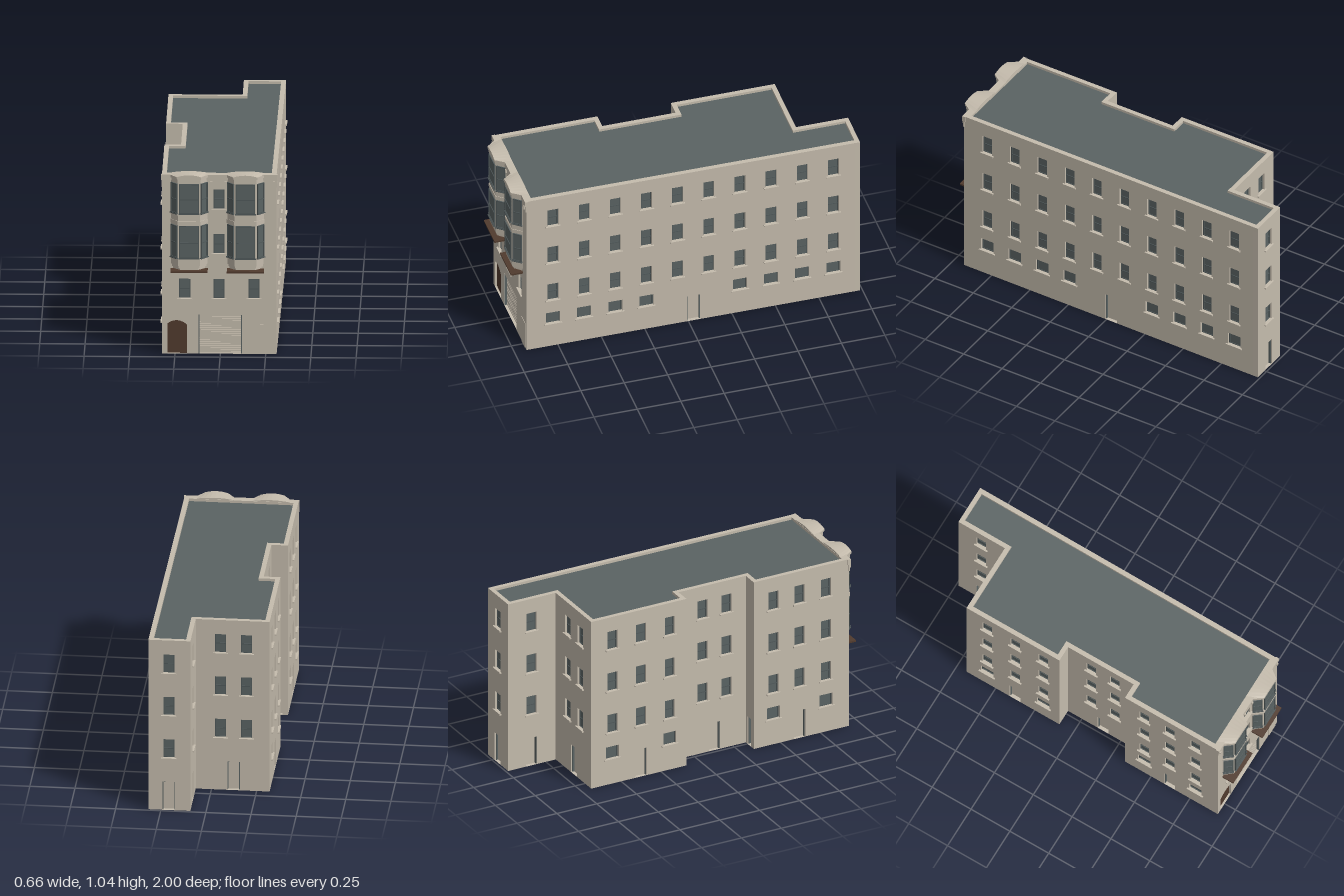
import * as THREE from 'three';

const mat = (name, color, side = THREE.FrontSide) => {
  const m = new THREE.MeshStandardMaterial({ color, side });
  m.name = name;
  return m;
};
const stone = mat('stone', 0xc5bcad);
const slate = mat('slate', 0x5a6363);
const sash = mat('sash', 0x50595a);
const brown = mat('brown', 0x513b2e);

const TOP = 1.027, RECESS = 0.02, THICK = 0.03;

function add(parent, name, geo, material, x = 0, y = 0, z = 0) {
  const m = new THREE.Mesh(geo, material);
  m.name = name;
  m.position.set(x, y, z);
  parent.add(m);
  return m;
}
const box = (parent, name, w, h, d, material, x, y, z) =>
  add(parent, name, new THREE.BoxGeometry(w, h, d), material, x, y, z);

// Prism standing on y0 from plan points [x, z], with an optional hole
function prism(parent, name, pts, y0, y1, material, hole) {
  const toShape = (p, C) => new C(p.map(([x, z]) => new THREE.Vector2(x, -z)));
  const s = toShape(pts, THREE.Shape);
  if (hole) s.holes.push(toShape(hole, THREE.Path));
  const g = new THREE.ExtrudeGeometry(s, { depth: y1 - y0, bevelEnabled: false });
  g.rotateX(-Math.PI / 2);
  return add(parent, name, g, material, 0, y0, 0);
}

// Glass with a border and a meeting rail; local z is outward
function pane(parent, x, y0, w, h, z, rail = true) {
  const g = new THREE.Group();
  g.name = 'window';
  g.position.set(x, y0 + h / 2, z);
  parent.add(g);
  const b = 0.005;
  box(g, 'glass', w, h, 0.004, slate, 0, 0, 0.002);
  for (const s of [-1, 1]) {
    box(g, 'sashSide', b, h, 0.008, sash, s * (w - b) / 2, 0, 0.004);
    box(g, 'sashEnd', w, b, 0.008, sash, 0, s * (h - b) / 2, 0.004);
  }
  if (rail) box(g, 'meetingRail', w, 0.005, 0.008, sash, 0, -h * 0.03, 0.004);
}

// Opening kinds: u is the distance along the wall
const sashWindow = (u, y, w = 0.062, h = 0.113) => ({ kind: 'window', u, y, w, h });
const smallWindow = (u) => ({ kind: 'small', u, y: 0.155, w: 0.08, h: 0.075 });
const door = (u, w = 0.07, h = 0.17) => ({ kind: 'door', u, y: 0.0005, w, h });
const ROWS = [0.315, 0.572, 0.828];
const column = (u) => ROWS.map((y) => sashWindow(u, y));

// Wall between two plan points, seen left to right from outside
function wall(parent, name, a, b, openings) {
  const dx = b[0] - a[0], dz = b[1] - a[1], L = Math.hypot(dx, dz);
  const g = new THREE.Group();
  g.name = name;
  g.position.set(a[0], 0, a[1]);
  g.rotation.y = Math.atan2(-dz, dx);
  parent.add(g);
  const s = new THREE.Shape();
  s.moveTo(0, 0).lineTo(L, 0).lineTo(L, 1).lineTo(0, 1).closePath();
  for (const o of openings) {
    const l = o.u - o.w / 2, r = o.u + o.w / 2, t = o.y + o.h;
    const p = new THREE.Path();
    p.moveTo(l, o.y).lineTo(l, t);
    if (o.rise) p.quadraticCurveTo(o.u, t + 2 * o.rise, r, t);
    else p.lineTo(r, t);
    p.lineTo(r, o.y).closePath();
    s.holes.push(p);
    if (o.kind === 'window' || o.kind === 'small') {
      pane(g, o.u, o.y, o.w, o.h, -RECESS, o.kind === 'window');
      box(g, 'sill', o.w + 0.022, 0.008, 0.028, stone, o.u, o.y - 0.003, -0.004);
    } else if (o.kind === 'door') {
      for (const k of [-1, 1])
        box(g, 'doorJamb', 0.004, o.h, 0.012, slate, o.u + k * (o.w / 2 - 0.002), o.y + o.h / 2, -0.014);
      box(g, 'doorHead', o.w, 0.004, 0.012, slate, o.u, t - 0.002, -0.014);
      box(g, 'doorBack', o.w, o.h, 0.004, slate, o.u, o.y + o.h / 2, -THICK - 0.001);
    }
  }
  const face = new THREE.ExtrudeGeometry(s, { depth: RECESS, bevelEnabled: false });
  add(g, 'wallFace', face, stone, 0, 0, -RECESS);
  box(g, 'wallBacking', L, 1, THICK - RECESS, stone, L / 2, 0.5, -(THICK + RECESS) / 2);
  return g;
}

// Two-storey bay with canted sides
function bay(parent, cx) {
  const g = new THREE.Group();
  g.name = 'bayWindow';
  g.position.set(cx, 0, 0.93);
  parent.add(g);
  const H = 0.1, F = 0.06, D = 0.05;
  const plan = (e) => [[-H - e, -0.01], [-H - e, 0], [-F - e * 0.6, D + e], [F + e * 0.6, D + e], [H + e, 0], [H + e, -0.01]];
  box(g, 'bayBase', 0.205, 0.01, 0.08, brown, 0, 0.485, 0.03);
  const layers = [
    [0.49, 0.502, -0.012], [0.502, 0.515, -0.005], [0.515, 1.0, 0], [0.75, 0.772, 0.004],
    [0.772, 0.802, 0.001], [0.802, 0.812, 0.004], [0.987, 1.012, 0.004], [1.012, 1.026, 0.01],
  ];
  for (const [y0, y1, e] of layers) prism(g, 'bayBand', plan(e), y0, y1, stone);
  // Shallow roof rising to the middle
  const roof = new THREE.Shape();
  roof.moveTo(-0.112, 1.02).lineTo(-0.112, 1.026).quadraticCurveTo(0, 1.048, 0.112, 1.026).lineTo(0.112, 1.02);
  const rg = new THREE.ExtrudeGeometry(roof, { depth: 0.09, bevelEnabled: false, curveSegments: 8 });
  const p = rg.attributes.position;
  for (let i = 0; i < p.count; i++) // pull the front edge in to follow the canted plan
    if (p.getZ(i) > 0.05) p.setX(i, p.getX(i) * 0.6);
  rg.computeVertexNormals();
  add(g, 'bayRoof', rg, stone, 0, 0, -0.03);
  // Front and canted windows on both storeys
  const faces = [
    [0, D, 0, 0.108],
    [-(H + F) / 2, D / 2, -Math.atan2(D, H - F), 0.054],
    [(H + F) / 2, D / 2, Math.atan2(D, H - F), 0.054],
  ];
  for (const [x, z, turn, w] of faces) {
    const f = new THREE.Group();
    f.name = 'bayFace';
    f.position.set(x, 0, z);
    f.rotation.y = turn;
    g.add(f);
    for (const [y, h] of [[0.56, 0.185], [0.815, 0.17]]) {
      pane(f, 0, y, w, h, 0);
      box(f, 'baySill', w + 0.008, 0.005, 0.014, sash, 0, y - 0.002, 0.005);
    }
  }
}

export function createModel() {
  const model = new THREE.Group();
  model.name = 'building';
  const outer = [
    [-0.322, 0.93], [0.31, 0.93], [0.32, -0.987], [0.087, -0.987], [0.087, -0.688],
    [-0.322, -0.688], [-0.322, -0.09], [-0.23, -0.09], [-0.23, 0.332], [-0.322, 0.332],
  ];
  const inner = [
    [-0.296, 0.898], [0.283, 0.898], [0.293, -0.962], [0.113, -0.962], [0.113, -0.662],
    [-0.296, -0.662], [-0.296, -0.116], [-0.204, -0.116], [-0.204, 0.358], [-0.296, 0.358],
  ];
  // Distance along wall i from a world coordinate on its main axis
  const along = (i, c) => {
    const a = outer[i], b = outer[(i + 1) % outer.length];
    const k = Math.abs(b[0] - a[0]) > Math.abs(b[1] - a[1]) ? 0 : 1;
    return Math.abs(c - a[k]);
  };

  // Openings of each wall
  const openings = outer.map(() => []);
  const put = (i, ...list) => openings[i].push(...list);
  for (const x of [-0.197, -0.008, 0.185]) put(0, sashWindow(along(0, x), ROWS[0]));
  for (const y of [0.572, 0.828]) put(0, sashWindow(along(0, -0.008), y));
  put(0, { kind: 'arch', u: along(0, -0.242), y: 0.0005, w: 0.117, h: 0.165, rise: 0.025 });
  put(0, { kind: 'garage', u: along(0, 0), y: 0.0005, w: 0.24, h: 0.223 });
  for (let c = 0; c < 10; c++) {
    const u = along(1, 0.778 - c * 0.179);
    put(1, ...column(u));
    if (c !== 4 && c !== 5) put(1, smallWindow(u));
  }
  put(1, door(along(1, -0.03), 0.076));
  put(2, ...column(along(2, 0.207)), door(along(2, 0.207)));
  put(3, ...column(along(3, -0.84)), door(along(3, -0.84)));
  put(4, ...column(along(4, -0.05)), ...column(along(4, -0.194)), door(along(4, -0.122)));
  for (const z of [-0.555, -0.375, -0.195]) put(5, ...column(along(5, z)));
  put(5, smallWindow(along(5, -0.555)), door(along(5, -0.375)), smallWindow(along(5, -0.195)));
  put(7, ...column(along(7, 0.06)), ...column(along(7, 0.21)), door(along(7, 0.135)));
  put(8, door(along(8, -0.277), 0.06));
  for (const z of [0.455, 0.62, 0.785]) put(9, ...column(along(9, z)));
  put(9, smallWindow(along(9, 0.455)), door(along(9, 0.62)), smallWindow(along(9, 0.785)));

  const names = ['frontWall', 'rightWall', 'wingBackWall', 'wingSideWall', 'backWall',
    'leftRearWall', 'notchRearWall', 'notchWall', 'notchFrontWall', 'leftFrontWall'];
  outer.forEach((a, i) => wall(model, names[i], a, outer[(i + 1) % outer.length], openings[i]));

  // Roof and parapet
  prism(model, 'parapet', outer, 0.995, TOP, stone, inner);
  prism(model, 'roof', inner, 0.995, 1.012, slate);

  // Front cornice and its small brackets
  box(model, 'frieze', 0.636, 0.04, 0.012, stone, -0.006, 0.975, 0.93);
  box(model, 'cornice', 0.64, 0.032, 0.02, stone, -0.006, 1.011, 0.93);
  for (const x of [-0.31, -0.05, 0.03, 0.295]) box(model, 'bracket', 0.012, 0.02, 0.012, stone, x, 0.98, 0.938);

  // Arched door
  const arch = new THREE.Shape();
  arch.moveTo(-0.0585, 0).lineTo(0.0585, 0).lineTo(0.0585, 0.165).quadraticCurveTo(0, 0.215, -0.0585, 0.165);
  add(model, 'archedDoor', new THREE.ExtrudeGeometry(arch, { depth: 0.008, bevelEnabled: false }), brown, -0.242, 0, 0.91);

  // Roller shutter with guide rails
  for (let i = 0; i < 20; i++) box(model, 'shutterSlat', 0.23, 0.008, 0.006, stone, 0, 0.006 + i * 0.0111, 0.912);
  for (const s of [-1, 1]) box(model, 'shutterRail', 0.005, 0.222, 0.018, slate, s * 0.1175, 0.111, 0.92);

  // Plain service door
  box(model, 'serviceDoor', 0.067, 0.17, 0.006, stone, 0.253, 0.085, 0.93);

  for (const x of [-0.172, 0.139]) bay(model, x);
  return model;
}
